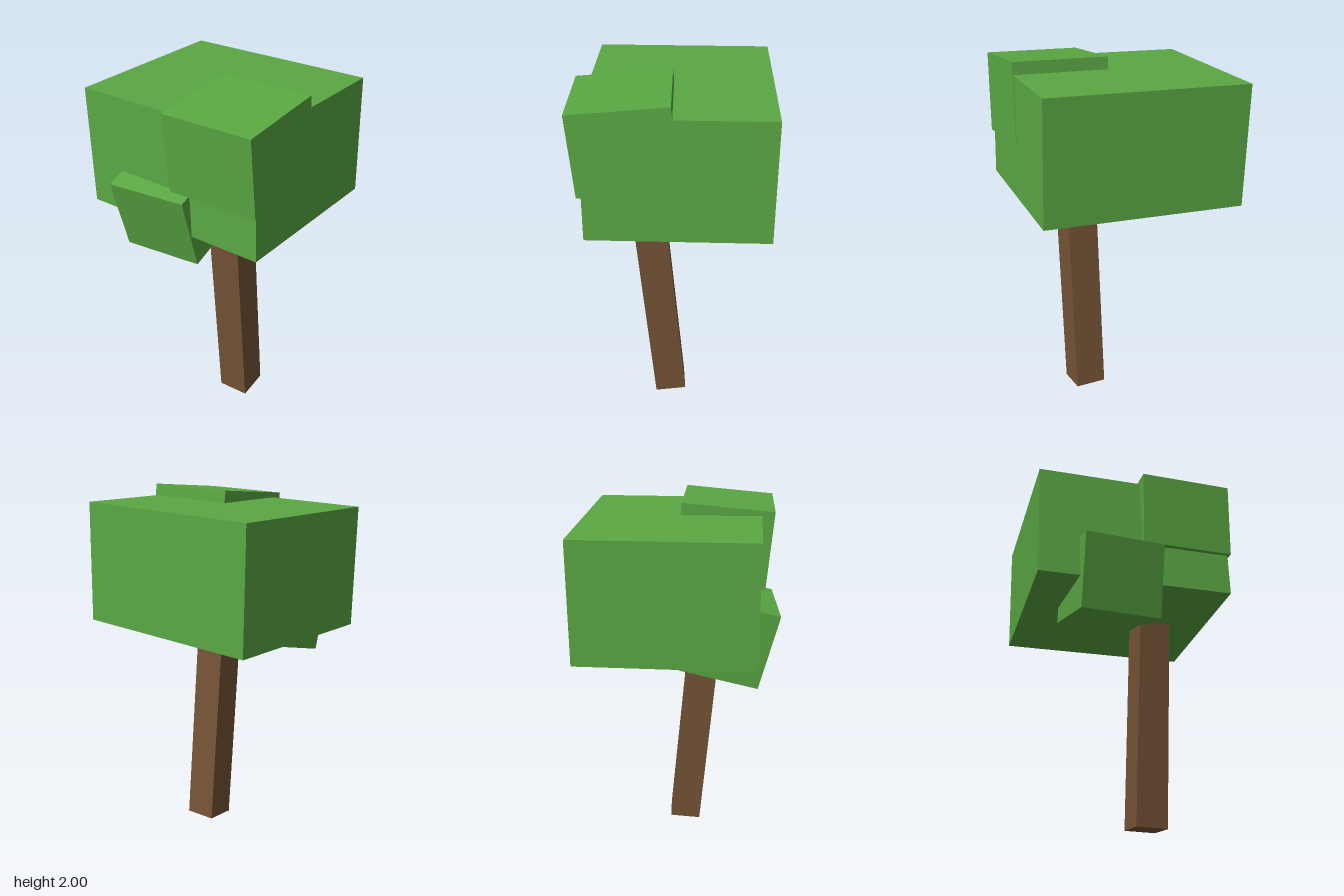
import * as THREE from 'three';

const rad = THREE.MathUtils.degToRad;

export function createModel() {
  const tree = new THREE.Group();
  tree.name = 'tree';

  const leafGreen = new THREE.MeshStandardMaterial({ color: 0x5aa843 });
  leafGreen.name = 'leaf green';
  const barkBrown = new THREE.MeshStandardMaterial({ color: 0x755336 });
  barkBrown.name = 'bark brown';

  // Adds one tilted block: size, centre, and rotation in degrees
  function block(name, material, size, centre, tilt) {
    const mesh = new THREE.Mesh(new THREE.BoxGeometry(...size), material);
    mesh.name = name;
    mesh.position.set(...centre);
    mesh.rotation.set(...tilt.map(rad));
    tree.add(mesh);
  }

  // Leaning trunk
  block('trunk', barkBrown, [0.177, 1.157, 0.178], [0.165, 0.585, 0.075], [5.4, 2, 0]);

  // Foliage: main crown, raised front corner clump, low drooping clump
  block('mainCrown', leafGreen, [1.102, 0.658, 0.955], [-0.003, 1.593, -0.042], [0, -2.07, 1.4]);
  block('upperClump', leafGreen, [0.525, 0.437, 0.505], [0.28, 1.756, 0.24], [5, -0.9, 1.4]);
  block('lowerClump', leafGreen, [0.46, 0.423, 0.435], [-0.114, 1.328, 0.259], [14.5, 3.7, 1.3]);

  return tree;
}
